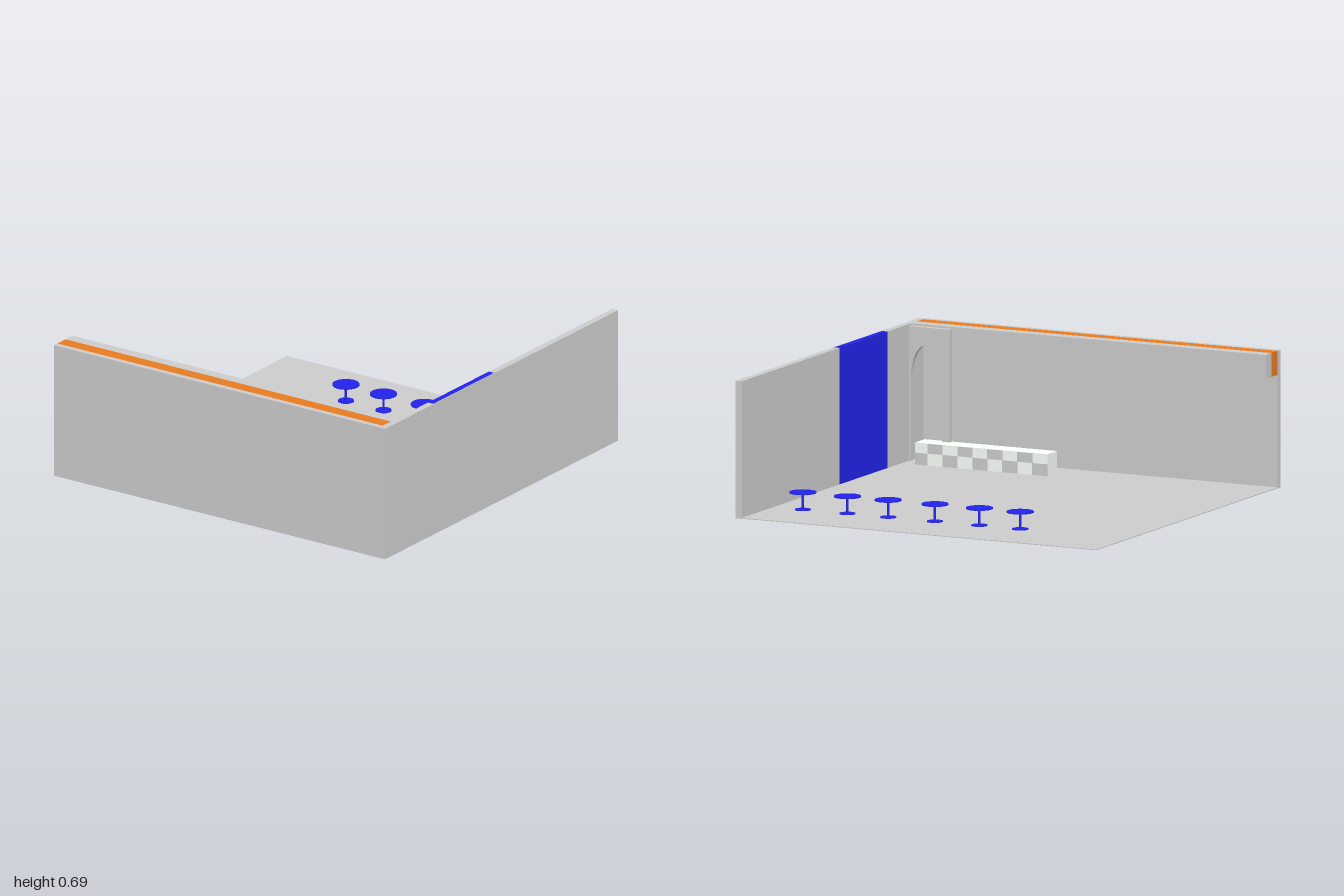
import * as THREE from 'three';

const mat = (color) => new THREE.MeshStandardMaterial({ color });
const grey = mat(0xcccccc);
const blue = mat(0x2222ea);
const orange = mat(0xe87b20);
const white = mat(0xfafffa);

// Box given by its minimum and maximum corners
function box(name, material, [x0, y0, z0], [x1, y1, z1]) {
  const mesh = new THREE.Mesh(new THREE.BoxGeometry(x1 - x0, y1 - y0, z1 - z0), material);
  mesh.position.set((x0 + x1) / 2, (y0 + y1) / 2, (z0 + z1) / 2);
  mesh.name = name;
  return mesh;
}

// Round pedestal table: base, stem and top
function createTable(z) {
  const table = new THREE.Group();
  table.name = 'table';
  const disc = (name, radius, y0, y1) => {
    const mesh = new THREE.Mesh(new THREE.CylinderGeometry(radius, radius, y1 - y0, 32), blue);
    mesh.position.y = (y0 + y1) / 2;
    mesh.name = name;
    table.add(mesh);
  };
  disc('tableBase', 0.04, 0, 0.009);
  disc('tableStem', 0.006, 0.009, 0.09);
  disc('tableTop', 0.067, 0.09, 0.096);
  table.position.set(0.66, 0, z);
  return table;
}

// Panel with an arched opening, standing parallel to the side wall
function createArchPanel() {
  const shape = new THREE.Shape();
  shape.moveTo(-0.965, 0.004);
  shape.lineTo(-0.955, 0.004);
  shape.lineTo(-0.955, 0.42);
  shape.absellipse(-0.868, 0.42, 0.087, 0.17, Math.PI, 0, true);
  shape.lineTo(-0.781, 0.004);
  shape.lineTo(-0.74, 0.004);
  shape.lineTo(-0.74, 0.68);
  shape.lineTo(-0.965, 0.68);
  const geometry = new THREE.ExtrudeGeometry(shape, { depth: 0.027, bevelEnabled: false, curveSegments: 24 });
  // Shape x becomes -z, extrusion runs along +x
  geometry.rotateY(Math.PI / 2);
  const mesh = new THREE.Mesh(geometry, grey);
  mesh.position.x = -0.84;
  mesh.name = 'archPanel';
  return mesh;
}

// Counter with a chequered front
function createCounter() {
  const counter = new THREE.Group();
  counter.name = 'counter';
  counter.add(box('counterBody', white, [-0.84, 0.004, 0.157], [-0.734, 0.115, 0.89]));
  const tile = 0.083;
  for (let i = 0; i < 9; i++) {
    const z0 = 0.157 + i * tile;
    const z1 = Math.min(z0 + tile, 0.89);
    const [y0, y1] = i % 2 ? [0.065, 0.114] : [0.004, 0.065];
    counter.add(box('darkTile', grey, [-0.735, y0, z0], [-0.732, y1, z1]));
  }
  return counter;
}

export function createModel() {
  const model = new THREE.Group();
  model.name = 'room';

  // Floor and walls
  model.add(box('floor', grey, [-1, 0.001, -1], [1, 0.005, 1]));
  model.add(box('sideWall', grey, [-1, 0, -1], [-0.97, 0.69, 0.965]));
  model.add(box('frontWallOuter', grey, [-1, 0, 0.996], [1, 0.69, 1]));
  model.add(box('frontWallRight', grey, [-1, 0, 0.965], [-0.58, 0.69, 0.996]));
  model.add(box('frontWallLeft', grey, [-0.06, 0, 0.965], [1, 0.69, 0.996]));
  model.add(box('doorPanel', blue, [-0.58, 0, 0.965], [-0.06, 0.69, 0.996]));

  // Overhead beam along the side wall
  model.add(box('beamStrip', orange, [-0.97, 0.57, -1], [-0.9, 0.69, 0.965]));
  model.add(box('beam', grey, [-0.9, 0.57, -1], [-0.84, 0.69, 0.965]));

  model.add(createArchPanel(), createCounter());

  // Row of tables
  for (const z of [0.8, 0.553, 0.327, 0.068, -0.178, -0.405]) model.add(createTable(z));
  return model;
}
